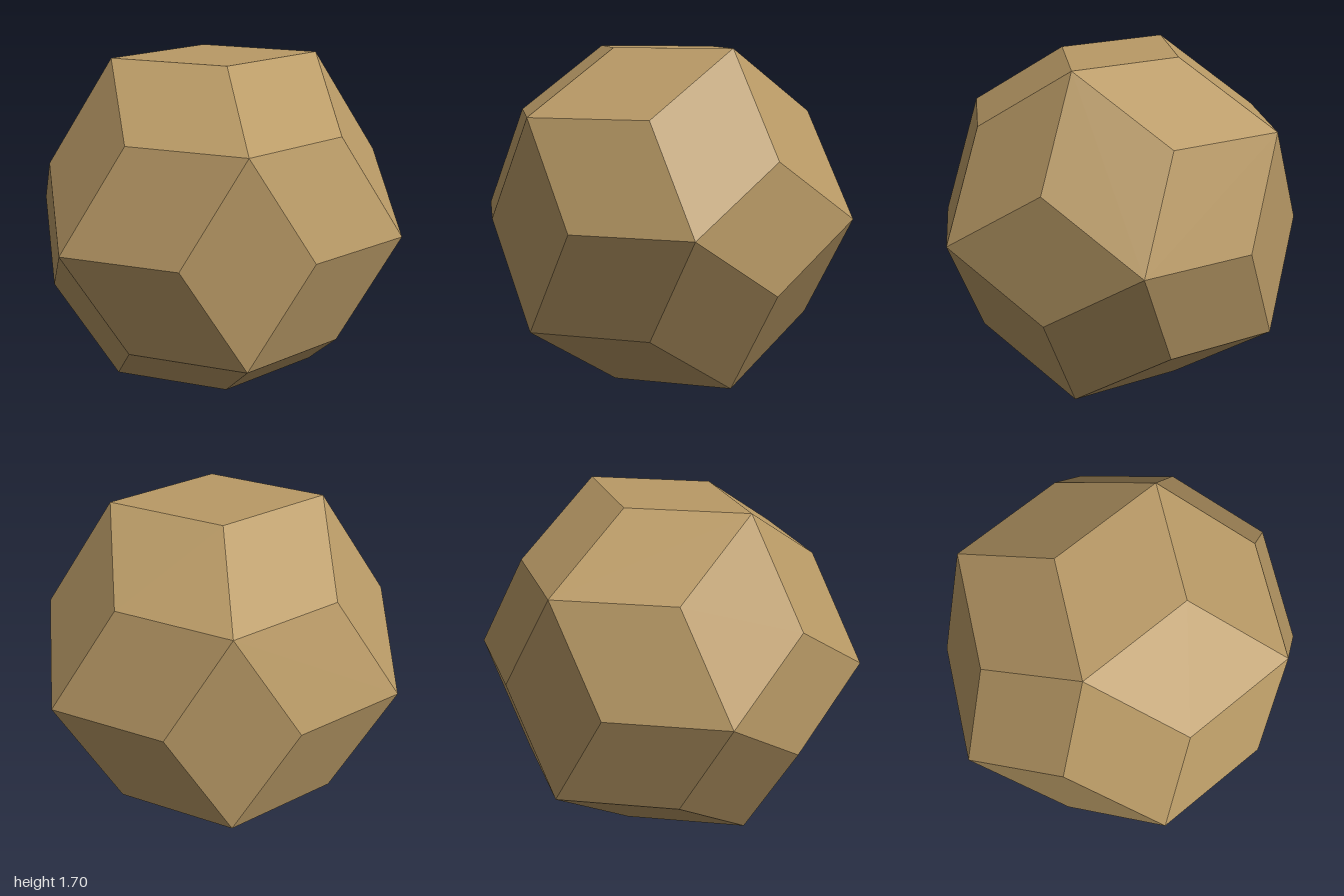
import * as THREE from 'three';

// Rhombic triacontahedron: 30 equal rhombi, one five-fold axis along z.
export function createModel() {
  const s5 = Math.sqrt(5);
  const wide = 2 / s5;          // radius of the outer rings
  const narrow = 1 - 1 / s5;    // radius of the rings next to the poles
  const centreY = wide * Math.sin(Math.PI * 0.4);

  // Point on a ring; angle in steps of 36 degrees
  const point = (radius, step, z) => {
    const t = step * Math.PI / 5;
    return [radius * Math.cos(t), radius * Math.sin(t), z];
  };

  // Rings from the front pole to the back pole
  const front = [0, 0, 1];
  const back = [0, 0, -1];
  const zNarrow = 0.5 + s5 / 10;
  const zWide = 1 / s5;
  const zMid = 2 * zWide - zNarrow;
  const a = k => point(narrow, 2 * k, zNarrow);
  const b = k => point(wide, 2 * k + 1, zWide);
  const c = k => point(wide, 2 * k, zMid);
  const d = k => point(wide, 2 * k + 1, -zMid);
  const e = k => point(wide, 2 * k, -zWide);
  const f = k => point(narrow, 2 * k + 1, -zNarrow);

  const positions = [];
  const rhombus = (p, q, r, s) => positions.push(...p, ...q, ...r, ...p, ...r, ...s);

  for (let k = 0; k < 5; k++) {
    rhombus(front, a(k), b(k), a(k + 1));        // front cap
    rhombus(a(k), b(k - 1), c(k), b(k));         // front shoulder
    rhombus(b(k), c(k), e(k), d(k));             // belt
    rhombus(b(k), d(k), e(k + 1), c(k + 1));     // belt
    rhombus(d(k), e(k), f(k), e(k + 1));         // back shoulder
    rhombus(back, f(k), e(k), f(k - 1));         // back cap
  }

  // Unshared corners keep every face flat
  const geometry = new THREE.BufferGeometry();
  geometry.setAttribute('position', new THREE.Float32BufferAttribute(positions, 3));
  geometry.translate(0, centreY, 0);
  geometry.computeVertexNormals();

  const tan = new THREE.MeshStandardMaterial({ color: 0xb99a66 });
  tan.name = 'tan';

  const solid = new THREE.Mesh(geometry, tan);
  solid.name = 'rhombicSolid';

  const group = new THREE.Group();
  group.name = 'rhombicTriacontahedron';
  group.add(solid);
  return group;
}
